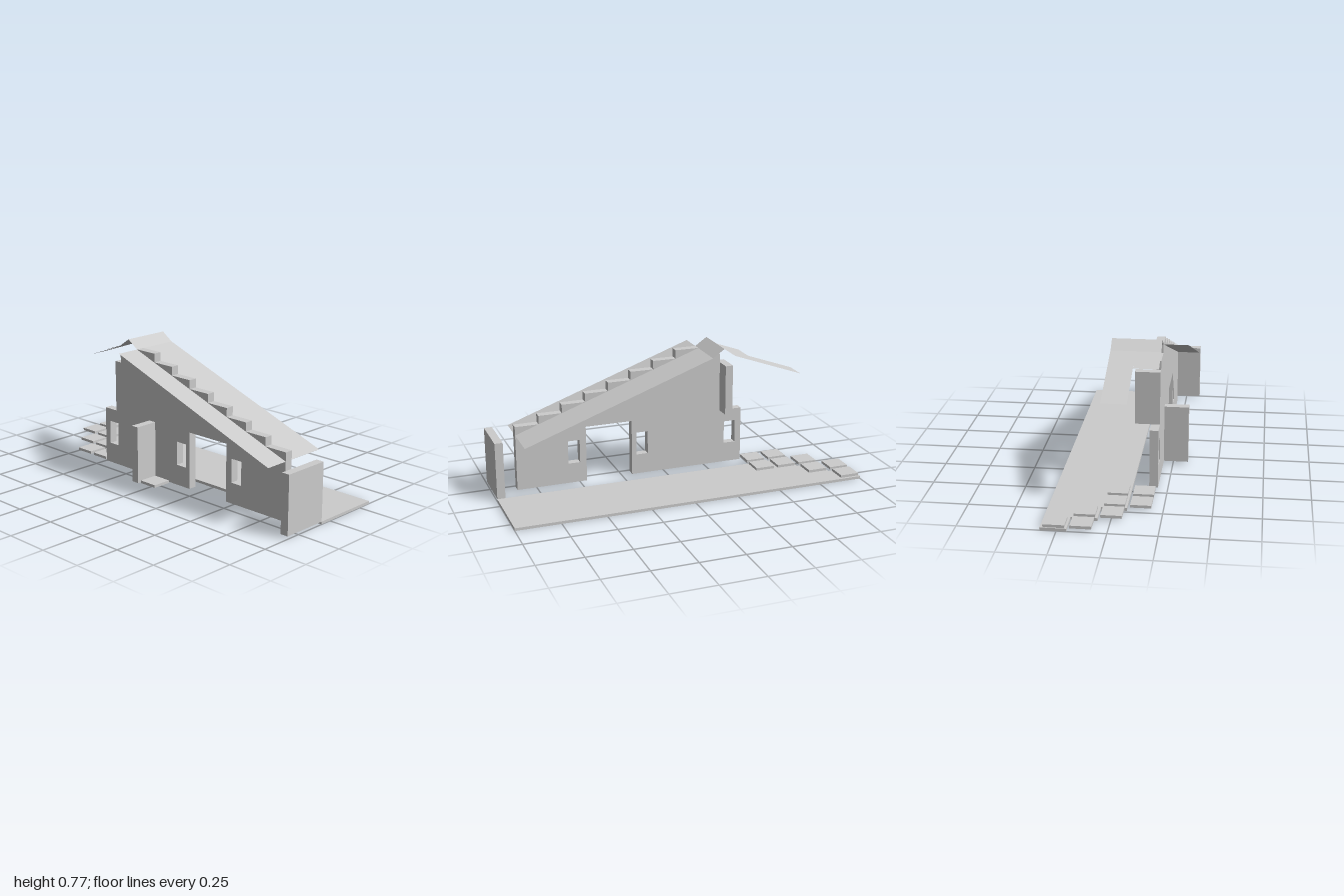
import * as THREE from 'three';

const plaster = new THREE.MeshStandardMaterial({ color: 0xcccccc });
plaster.name = 'pale grey plaster';
const sheet = plaster;
sheet.side = THREE.DoubleSide; // the roof sheets have no thickness

export function createModel() {
  const model = new THREE.Group();
  model.name = 'steppedWallPavilion';

  const add = (name, geometry) => {
    const mesh = new THREE.Mesh(geometry, plaster);
    mesh.name = name;
    model.add(mesh);
    return mesh;
  };
  const box = (name, x0, x1, y0, y1, z0, z1) =>
    add(name, new THREE.BoxGeometry(x1 - x0, y1 - y0, z1 - z0))
      .position.set((x0 + x1) / 2, (y0 + y1) / 2, (z0 + z1) / 2);
  const outline = (points) => new THREE.Shape(points.map(([a, b]) => new THREE.Vector2(a, b)));

  // Floor slab with a staggered back edge, drawn as (x, -z)
  const floor = outline([
    [-0.067, -1], [0.333, -1], [0.333, 1], [0.2, 1],
    [0.2, 0.867], [0.065, 0.867], [0.065, 0.735], [-0.067, 0.735],
  ]);
  add('floorSlab', new THREE.ExtrudeGeometry(floor, { depth: 0.015, bevelEnabled: false })
    .rotateX(-Math.PI / 2));

  // Long wall with a stepped top, drawn as (-z, y)
  const base = 0.015, eaves = 0.335, step = 0.133, rise = 0.0482;
  const profile = [[-0.867, base], [-0.468, base], [-0.468, eaves], [-0.2, eaves], [-0.2, base],
    [0.467, base], [0.467, eaves], [0.333, eaves], [0.333, 0.672], [0.2, 0.672]];
  for (let i = 7; i >= 0; i--) {
    const y = eaves + rise * (i + 1), z = -0.867 + step * i;
    profile.push([i === 7 ? 0.2 : z + step, y], [z, y]);
  }
  const wall = outline(profile);
  for (const a of [-0.573, -0.173, 0.363]) {
    wall.holes.push(outline([[a, 0.13], [a, 0.262], [a + 0.068, 0.262], [a + 0.068, 0.13]]));
  }
  add('steppedWall', new THREE.ExtrudeGeometry(wall, { depth: 0.046, bevelEnabled: false })
    .rotateY(Math.PI / 2)).position.x = -0.2;

  // Cross walls
  box('frontScreenWall', -0.333, -0.067, base, eaves, 0.955, 1);
  box('sideButtress', -0.333, -0.2, base, eaves, -0.107, -0.062);
  box('upperCrossWall', -0.2, -0.067, eaves, 0.623, -0.377, -0.333);

  // Thin roof sheets, each a strip through (z, y) points
  const roof = (name, x0, x1, path) => {
    const positions = path.flatMap(([z, y]) => [x0, y, z, x1, y, z]);
    const index = [];
    for (let i = 0; i < path.length - 1; i++) {
      const a = 2 * i;
      index.push(a, a + 1, a + 3, a, a + 3, a + 2);
    }
    const g = new THREE.BufferGeometry();
    g.setAttribute('position', new THREE.Float32BufferAttribute(positions, 3));
    g.setIndex(index);
    const flat = g.toNonIndexed();
    flat.computeVertexNormals();
    add(name, flat);
  };
  const eave = [0.867, eaves], foot = [-0.2, 0.72], ridge = [-0.267, 0.766], back = [-0.333, 0.72];
  roof('leftFrontRoof', -0.333, -0.2, [eave, foot]);
  roof('rightFrontRoof', -0.154, 0.065, [eave, foot]);
  roof('ridgeCap', -0.2, 0.065, [foot, ridge, back]);
  roof('backRoofShort', -0.2, -0.067, [back, [-0.468, 0.671]]);
  roof('backRoofLong', -0.067, 0.065, [back, [-0.735, 0.575]]);

  // Paving stones stepping away at the back, and one by the side wall
  const stones = [[0.265, -0.94], [0.132, -0.94], [0.132, -0.805], [-0.002, -0.805],
    [-0.002, -0.672], [-0.136, -0.672], [-0.136, -0.538], [-0.002, -0.538], [-0.267, 0.002]];
  const h = 0.054;
  for (const [x, z] of stones) box('pavingStone', x - h, x + h, 0.015, 0.03, z - h, z + h);

  return model;
}
